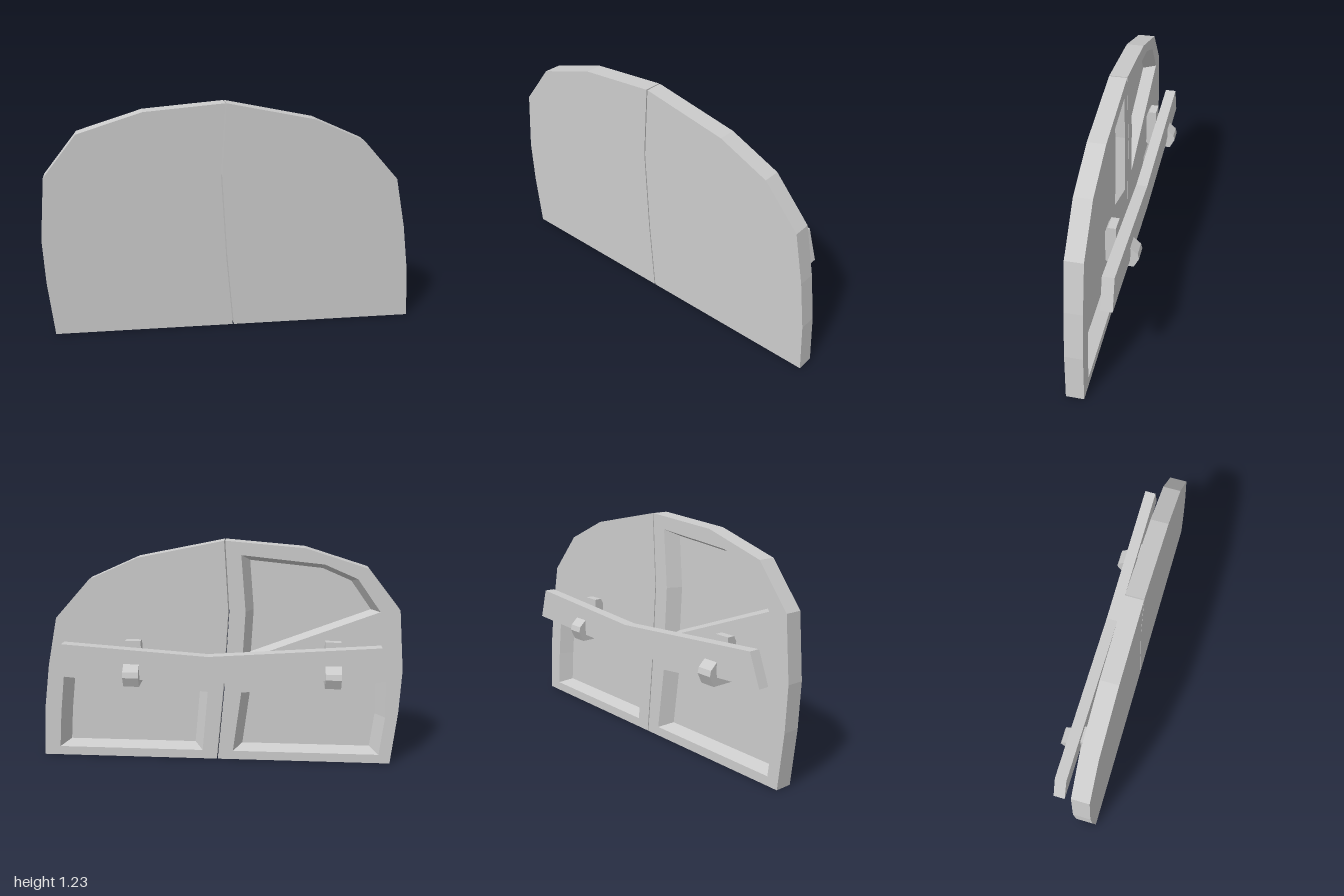
import * as THREE from 'three';

const material = new THREE.MeshStandardMaterial({ color: 0xcccccc, flatShading: true });
const vectors = (points) => points.map(([x, y]) => new THREE.Vector2(x, y));

function extrude(shape, depth, z = 0) {
  return new THREE.ExtrudeGeometry(shape, { depth, bevelEnabled: false }).translate(0, 0, z);
}

function addMesh(parent, geometry, name) {
  const mesh = new THREE.Mesh(geometry, material);
  mesh.name = name;
  parent.add(mesh);
  return mesh;
}

// Depths of the gate, from its back face to its front face
const BACK = 0.02, FLOOR = 0.09, FRONT = 0.113;

// Frame whose openings narrow towards the recess floor
function frameGeometry(outline, openings) {
  const shape = new THREE.Shape(vectors(outline));
  openings.forEach((o) => shape.holes.push(new THREE.Path(vectors(o))));
  const geometry = extrude(shape, FLOOR - BACK, BACK);
  const p = geometry.attributes.position;
  for (const opening of openings) {
    const box = new THREE.Box2().setFromPoints(vectors(opening));
    const c = box.getCenter(new THREE.Vector2());
    for (let i = 0; i < p.count; i++) {
      if (p.getZ(i) < FLOOR - 0.01) continue;
      const hit = opening.find(([x, y]) => Math.hypot(x - p.getX(i), y - p.getY(i)) < 1e-4);
      if (hit) p.setXY(i, c.x + (hit[0] - c.x) * 0.88, c.y + (hit[1] - c.y) * 0.88);
    }
  }
  geometry.computeVertexNormals();
  return geometry;
}

function addLeaf(parent, name, outline, openings) {
  const leaf = new THREE.Group();
  leaf.name = name;
  addMesh(leaf, extrude(new THREE.Shape(vectors(outline)), FRONT - FLOOR, FLOOR), 'frontPanel');
  addMesh(leaf, frameGeometry(outline, openings), 'recessedFrame');
  parent.add(leaf);
}

export function createModel() {
  const model = new THREE.Group();
  model.name = 'archedGate';
  const gate = new THREE.Group();
  gate.name = 'gate';
  gate.rotation.y = -0.093;
  model.add(gate);

  // Crooked seam shared by both leaves, bottom to top
  const seam = [[0.008, 0], [-0.028, 0.4], [-0.055, 0.85], [-0.032, 1.23]];
  const seamAt = (dx) => seam.map(([x, y]) => [x + dx, y]);

  addLeaf(gate, 'rightLeaf',
    [...seamAt(-0.003), [-0.455, 1.195], [-0.79, 1.09], [-0.964, 0.87],
      [-0.994, 0.54], [-0.984, 0.3], [-0.953, 0]],
    [
      [[-0.12, 1.155], [-0.56, 1.11], [-0.735, 1.035], [-0.86, 0.86], [-0.13, 0.58], [-0.145, 0.85]],
      [[-0.08, 0.05], [-0.89, 0.05], [-0.915, 0.27], [-0.91, 0.475], [-0.125, 0.395]],
    ]);

  addLeaf(gate, 'leftLeaf',
    [...seamAt(0.003), [0.434, 1.135], [0.7, 1.015], [0.891, 0.8],
      [0.946, 0.53], [0.981, 0.27], [0.996, 0]],
    [
      [[0.04, 1.15], [0.39, 1.075], [0.57, 1.0], [0.775, 0.82], [0.04, 0.58], [0.025, 0.85]],
      [[0.09, 0.05], [0.905, 0.05], [0.89, 0.25], [0.865, 0.465], [0.06, 0.395]],
    ]);

  // Sagging plank that bars the gate
  const plank = new THREE.Shape(vectors([
    [-0.93, 0.53], [0.05, 0.48], [0.885, 0.515], [0.835, 0.685], [0.05, 0.63], [-0.865, 0.695],
  ]));
  addMesh(gate, extrude(plank, 0.06, -0.105), 'crossBar');

  // Hooked brackets carrying the plank; profile is distance behind the gate and height
  const hook = new THREE.Shape(vectors([
    [-0.022, 0.66], [-0.005, 0.695], [0.036, 0.695], [0.036, 0.505], [0.1, 0.505], [0.11, 0.53],
    [0.107, 0.585], [0.145, 0.55], [0.152, 0.52], [0.125, 0.465], [0, 0.465], [-0.022, 0.485],
  ]));
  const hookGeometry = extrude(hook, 0.085, -0.0425).rotateY(Math.PI / 2);
  for (const [name, x, y] of [['rightBracket', -0.615, 0.008], ['leftBracket', 0.46, -0.003]]) {
    addMesh(gate, hookGeometry, name).position.set(x, y, 0);
  }

  return model;
}
